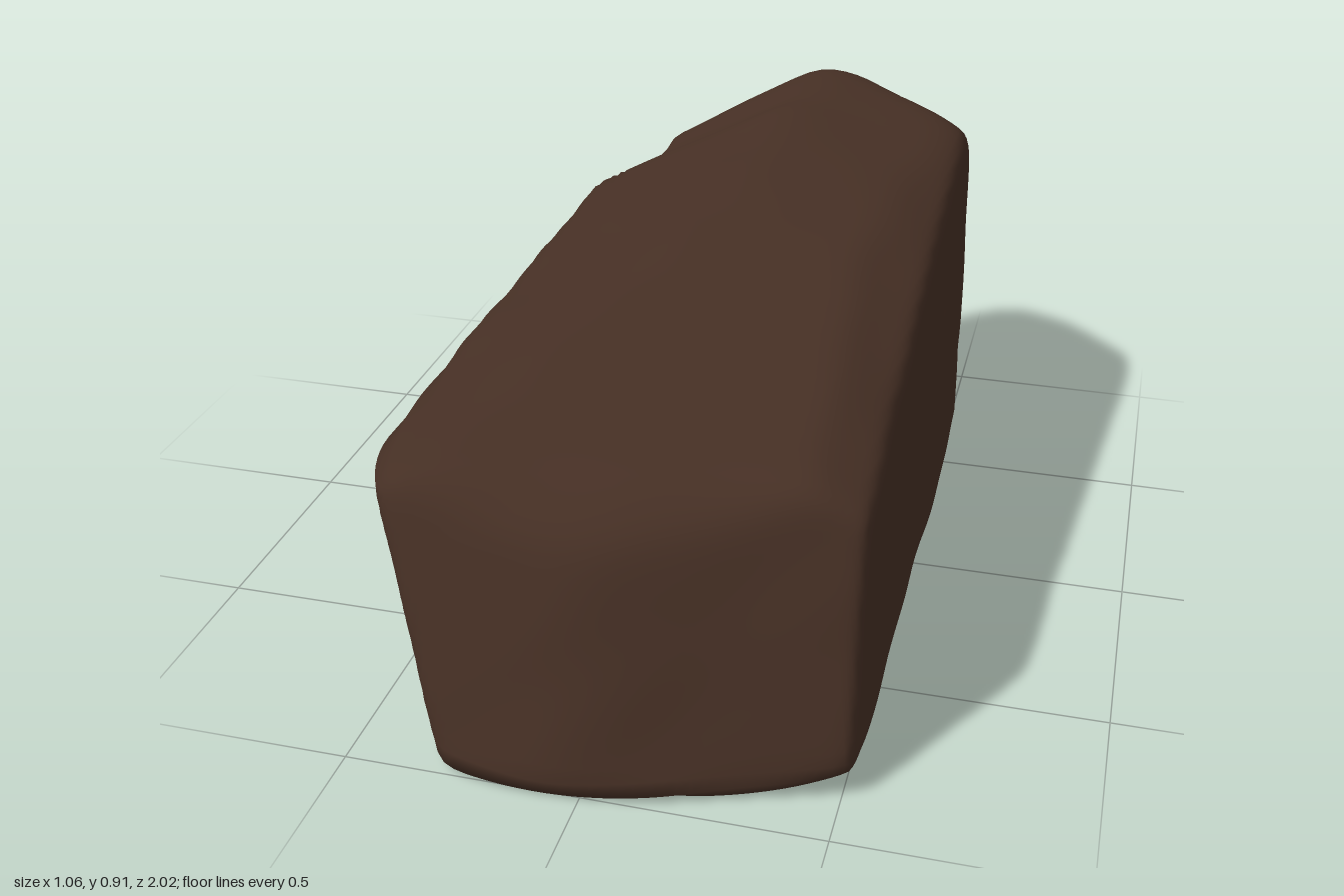
import * as THREE from 'three';
import { mergeVertices } from 'three/addons/utils/BufferGeometryUtils.js';

const CENTRE = new THREE.Vector3(0.05, 0.4, 0);

// A cut plane: a point on it and its outward direction
function cut(px, py, pz, nx, ny, nz) {
  const n = new THREE.Vector3(nx, ny, nz).normalize();
  return { n, h: n.dot(new THREE.Vector3(px, py, pz).sub(CENTRE)) };
}

// Faces shared by both masses of the boulder
const shared = [
  cut(0, 0.735, 0.15, -0.04, 1, 0.25),        // long sloping top
  cut(0.15, 0.895, -0.75, 0.06, 1, 0.11),     // flatter top at the back
  cut(0.44, 0.875, -0.7, 0.5, 1, 0.1),        // top right edge at the back
  cut(0.41, 0.8, -0.2, 0.5, 1, 0.22),         // top right edge
  cut(0.38, 0.84, -0.82, 0.6, 0.9, -0.6),     // top right back corner
  cut(0.518, 0.2, 0, 1, 0.03, 0),             // right side
];

// Main slab
const slab = [
  ...shared,
  cut(0, -0.004, 1, 0, -1, -0.025),           // underside
  cut(-0.1, 0.03, -0.39, -0.35, -0.9, -0.32), // lower back left corner
  cut(0.45, 0.01, 0.83, 0.35, -0.87, 0.35),   // lower front right corner
  cut(-0.38, 0.05, 0.4, -1, -0.3, -0.06),     // left side, leaning out
  cut(-0.495, 0.6, 0.2, -1, 0.35, -0.07),     // upper left side
  cut(0, 0.83, -0.3, -0.35, 1, 0.12),         // upper left slope
  cut(-0.05, 0.05, 1.02, 0.24, 0.34, 1),      // front, right half
  cut(-0.05, 0.05, 1.02, -0.15, 0.34, 1),     // front, left half
  cut(0, 0.545, 0.79, 0, 1, 0.8),             // front top edge
  cut(-0.49, 0.45, 0.74, -1, -0.2, 0.38),     // front left corner
  cut(-0.25, 0.4, -0.56, -0.5, 0, -1),        // back left
  cut(0, 0.2, -0.7, 0, 0, -1),                // lower back
];

// Overhanging block at the back, its front end buried in the slab
const overhang = [
  ...shared,
  cut(0, 0.85, -0.6, -0.32, 1, 0.12),         // upper left slope
  cut(-0.265, 0.5, -0.6, -1, 0, 0),           // left side
  cut(-0.25, 0.6, -0.7, -0.27, 0, -0.35),     // back left
  cut(0.2, 0.7, -1.01, 0.1, 0, -1),           // back
  cut(0.44, 0.6, -0.88, 0.18, 0, -0.13),      // back right
  cut(0, 0.25, -0.7, 0, -1, -0.5),            // underside
  cut(0, 0.41, -0.95, 0, -0.5, -1),           // lower back edge
  cut(0, 0.8, -0.99, 0, 0.5, -1),             // upper back edge
  cut(0, 0.15, 0, 0, -1, 0),                  // buried bottom
  cut(0, 0.4, 0.2, 0, 0, 1),                  // buried front
];

// Distance from the centre to a set of cuts, with softened edges
function reach(cuts, dir) {
  const p = 50;
  let sum = 0;
  for (const { n, h } of cuts) {
    sum += Math.pow(Math.max(0, n.dot(dir) / h), p);
  }
  return Math.pow(sum, -1 / p);
}

// Gentle weathering of the surface
function weather(x, y, z) {
  return 0.004 * Math.sin(6 * x + 3 * y + 5 * z + 1)
    + 0.003 * Math.sin(11 * x + 2) * Math.sin(9 * z + 5 * y)
    + 0.003 * Math.sin(19 * x - 7 * y) * Math.sin(17 * z + 1) * Math.cos(15 * y);
}

// A block whose points are pushed out to the nearest cuts
function boulderGeometry() {
  const block = new THREE.BoxGeometry(1.04, 0.9, 2, 36, 32, 66);
  block.deleteAttribute('uv');
  block.deleteAttribute('normal');
  const geo = mergeVertices(block);
  const pos = geo.attributes.position;
  const dir = new THREE.Vector3();
  for (let i = 0; i < pos.count; i++) {
    dir.fromBufferAttribute(pos, i).normalize();
    const r = Math.max(reach(slab, dir), reach(overhang, dir));
    const w = weather(dir.x * r, dir.y * r, dir.z * r);
    dir.multiplyScalar(r + w).add(CENTRE);
    pos.setXYZ(i, dir.x, dir.y, dir.z);
  }
  geo.computeVertexNormals();
  return geo;
}

export function createModel() {
  const group = new THREE.Group();
  group.name = 'rock';
  const stone = new THREE.MeshStandardMaterial({ color: 0x452f24 });
  stone.name = 'dark brown stone';
  const boulder = new THREE.Mesh(boulderGeometry(), stone);
  boulder.name = 'boulder';
  group.add(boulder);
  return group;
}
